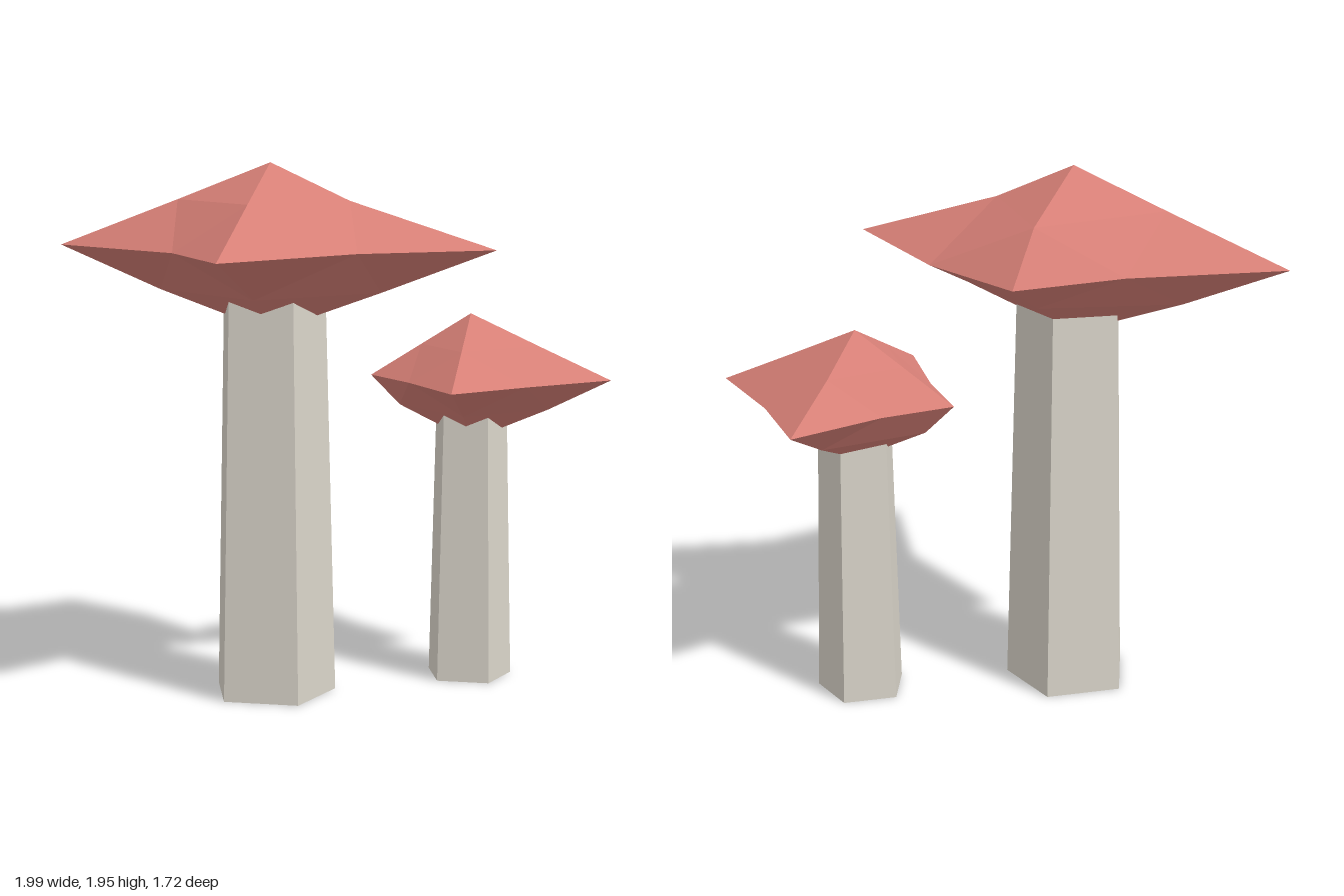
import * as THREE from 'three';

const stemMaterial = new THREE.MeshStandardMaterial({ color: 0xd9d4c9, flatShading: true, side: THREE.DoubleSide });
const capMaterial = new THREE.MeshStandardMaterial({ color: 0xd67f76, flatShading: true });

// Turns distances along +x, +z, -x, -z into points at height y
const ring = (reach, y) => reach.map((r, i) => {
  const a = (i * Math.PI) / 2;
  return [r * Math.cos(a), Array.isArray(y) ? y[i] : y, r * Math.sin(a)];
});

// Faceted cap: an eight-sided gem, each side split in four with its midpoints moved
function capGeometry({ height, tips, diagonals, upper, upperY, lower, lowerY }) {
  const tip = ring(tips, 0);
  const diag = diagonals.map(([x, z]) => [x, 0, z]);
  const positions = [];
  const halves = [
    { pole: [0, height, 0], mid: ring(upper, upperY), up: true },
    { pole: [0, -height, 0], mid: ring(lower, lowerY), up: false },
  ];
  for (const { pole, mid, up } of halves) {
    const tri = (a, b, c) => positions.push(...a, ...(up ? b : c), ...(up ? c : b));
    for (let i = 0; i < 4; i++) {
      const j = (i + 1) % 4;
      tri(pole, mid[j], mid[i]);
      tri(mid[i], diag[i], tip[i]);
      tri(mid[j], tip[j], diag[i]);
      tri(mid[i], mid[j], diag[i]);
    }
  }
  const geometry = new THREE.BufferGeometry();
  geometry.setAttribute('position', new THREE.Float32BufferAttribute(positions, 3));
  geometry.computeVertexNormals();
  return geometry;
}

function mushroom(name, x, z, stem, cap) {
  const group = new THREE.Group();
  group.name = name;
  group.position.set(x, 0, z);

  // Open five-sided tapering stem, flat side to the front
  const stemMesh = new THREE.Mesh(
    new THREE.CylinderGeometry(stem.top, stem.bottom, stem.height, 5, 1, true), stemMaterial);
  stemMesh.name = 'stem';
  stemMesh.rotation.y = Math.PI;
  stemMesh.position.y = stem.height / 2;

  const capMesh = new THREE.Mesh(capGeometry(cap), capMaterial);
  capMesh.name = 'cap';
  capMesh.position.y = cap.y;

  group.add(stemMesh, capMesh);
  return group;
}

export function createModel() {
  const model = new THREE.Group();
  model.name = 'mushrooms';

  model.add(mushroom('largeMushroom', -0.21, 0.05,
    { bottom: 0.235, top: 0.199, height: 1.5 },
    {
      y: 1.645, height: 0.305,
      tips: [0.82, 0.81, 0.79, 0.59],
      diagonals: [[0.37, 0.28], [-0.27, 0.36], [-0.3, -0.3], [0.39, -0.38]],
      upper: [0.29, 0.36, 0.345, 0.39], upperY: 0.17,
      lower: [0.405, 0.284, 0.413, 0.355], lowerY: [-0.158, -0.168, -0.158, -0.122],
    }));

  model.add(mushroom('smallMushroom', 0.468, -0.337,
    { bottom: 0.166, top: 0.14, height: 1.05 },
    {
      y: 1.142, height: 0.24,
      tips: [0.525, 0.505, 0.378, 0.52],
      diagonals: [[0.24, 0.26], [-0.2, 0.21], [-0.193, -0.203], [0.232, -0.257]],
      upper: [0.256, 0.248, 0.186, 0.23], upperY: 0.122,
      lower: [0.294, 0.189, 0.268, 0.287], lowerY: [-0.115, -0.126, -0.11, -0.116],
    }));

  return model;
}
